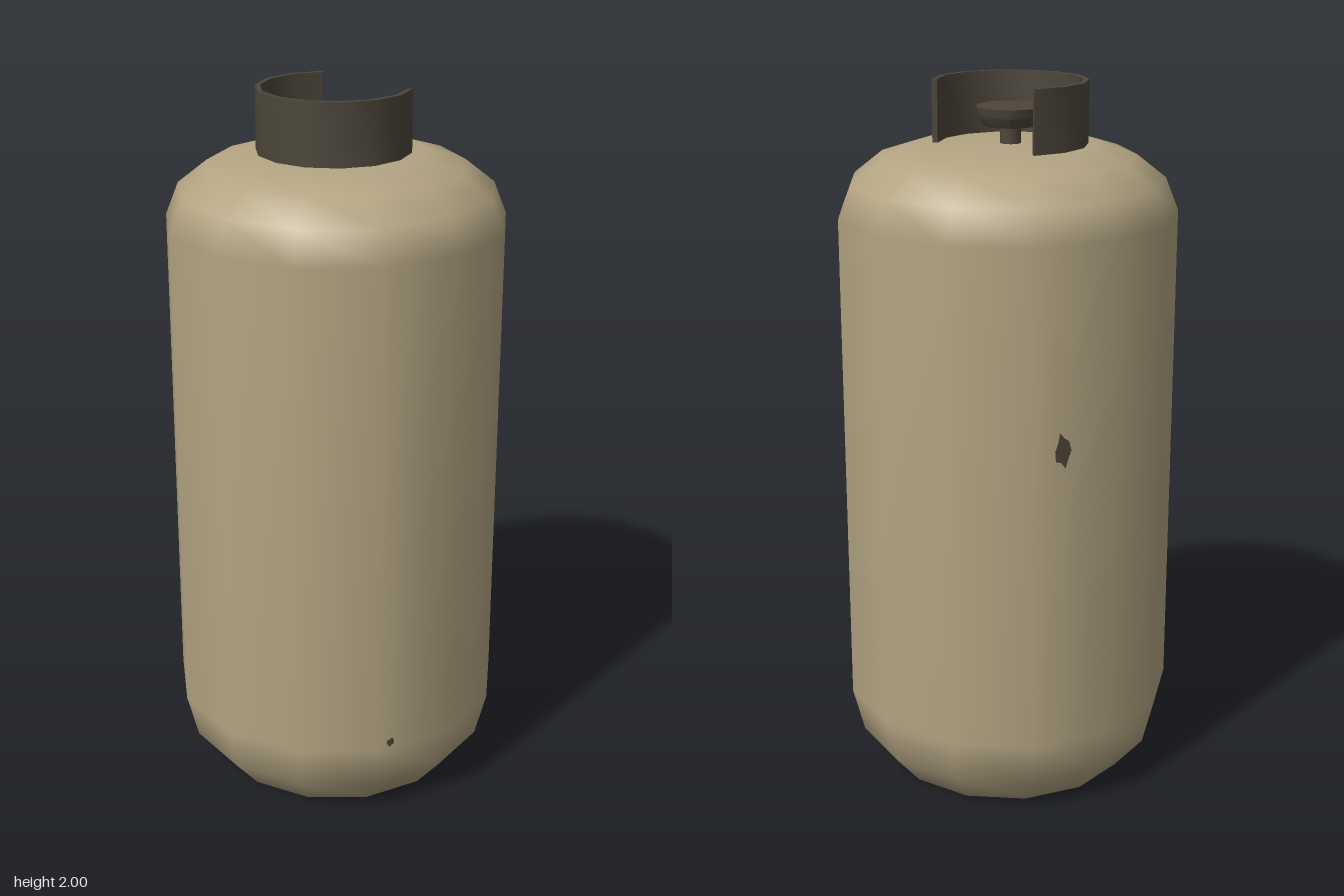
import * as THREE from 'three';
import { toCreasedNormals } from 'three/addons/utils/BufferGeometryUtils.js';

const SIDES = 13, RADIUS = 0.473, BODY_Z = 0.005;
const STEP = (Math.PI * 2) / SIDES;

const paint = new THREE.MeshStandardMaterial({ name: 'tan paint', color: 0xb3a482 });
const metal = new THREE.MeshStandardMaterial({ name: 'dark metal', color: 0x4c463a });

function part(name, geometry, material) {
  const mesh = new THREE.Mesh(geometry, material);
  mesh.name = name;
  return mesh;
}

const profile = (points) => points.map(([r, y]) => new THREE.Vector2(r, y));

// Paint chip: a thin ragged plate lying on the tank facet found at angle phi
function paintChip(phi, y, width, height, seed) {
  const shape = new THREE.Shape();
  for (let i = 0; i < 10; i++) {
    const a = (i / 10) * Math.PI * 2;
    const k = 0.43 + 0.1 * Math.sin(seed * 7 + i * 2.4);
    const x = Math.cos(a) * k * width, v = Math.sin(a) * k * height;
    if (i) shape.lineTo(x, v); else shape.moveTo(x, v);
  }
  const facet = Math.PI + (Math.floor((phi - Math.PI) / STEP) + 0.5) * STEP;
  const apothem = RADIUS * Math.cos(STEP / 2);
  const geometry = new THREE.ShapeGeometry(shape);
  geometry.translate(apothem * Math.tan(phi - facet), y, apothem + 0.002);
  geometry.rotateY(facet);
  geometry.translate(0, 0, BODY_Z);
  return part('paintChip', geometry, metal);
}

export function createModel() {
  const model = new THREE.Group();
  model.name = 'gasCylinder';

  // Tank with rounded shoulders and base
  const tank = new THREE.LatheGeometry(profile([
    [0, 0], [0.355, 0], [0.44, 0.1], [RADIUS, 0.23], [RADIUS, 1.64],
    [0.437, 1.73], [0.355, 1.795], [0.25, 1.828], [0, 1.83],
  ]), SIDES, Math.PI);
  tank.translate(0, 0, BODY_Z);
  model.add(part('tank', tank, paint));

  // Guard collar: an open ring around the valve
  const outer = [], inner = [];
  for (let i = 0; i <= 10; i++) {
    const a = THREE.MathUtils.degToRad(37.7 + i * 25.16);
    const at = (r) => new THREE.Vector2(Math.cos(a) * r, -Math.sin(a) * r);
    outer.push(at(0.213));
    inner.unshift(at(0.198));
  }
  const ring = new THREE.ExtrudeGeometry(new THREE.Shape([...outer, ...inner]), { depth: 0.175, bevelEnabled: false });
  ring.rotateX(-Math.PI / 2);
  ring.translate(0, 1.825, -0.01);
  model.add(part('guardCollar', toCreasedNormals(ring, 0.6), metal));

  // Valve stem and handwheel
  const valve = new THREE.LatheGeometry(profile([
    [0.03, 1.825], [0.03, 1.878], [0.075, 1.878], [0.092, 1.905], [0.096, 1.93], [0, 1.93],
  ]), 10);
  valve.translate(0, 0, -0.01);
  model.add(part('valve', toCreasedNormals(valve, 0.7), metal));

  // Chipped paint: angle in degrees from the front, height, width, height
  [
    [162.2, 1.09, 0.05, 0.1],
    [66.8, 1.07, 0.03, 0.055],
    [61.2, 0.895, 0.034, 0.03],
    [68.3, 0.97, 0.008, 0.01],
    [-9.3, 0.25, 0.028, 0.03],
  ].forEach(([deg, y, w, h], i) => model.add(paintChip(THREE.MathUtils.degToRad(deg), y, w, h, i + 1)));

  return model;
}
